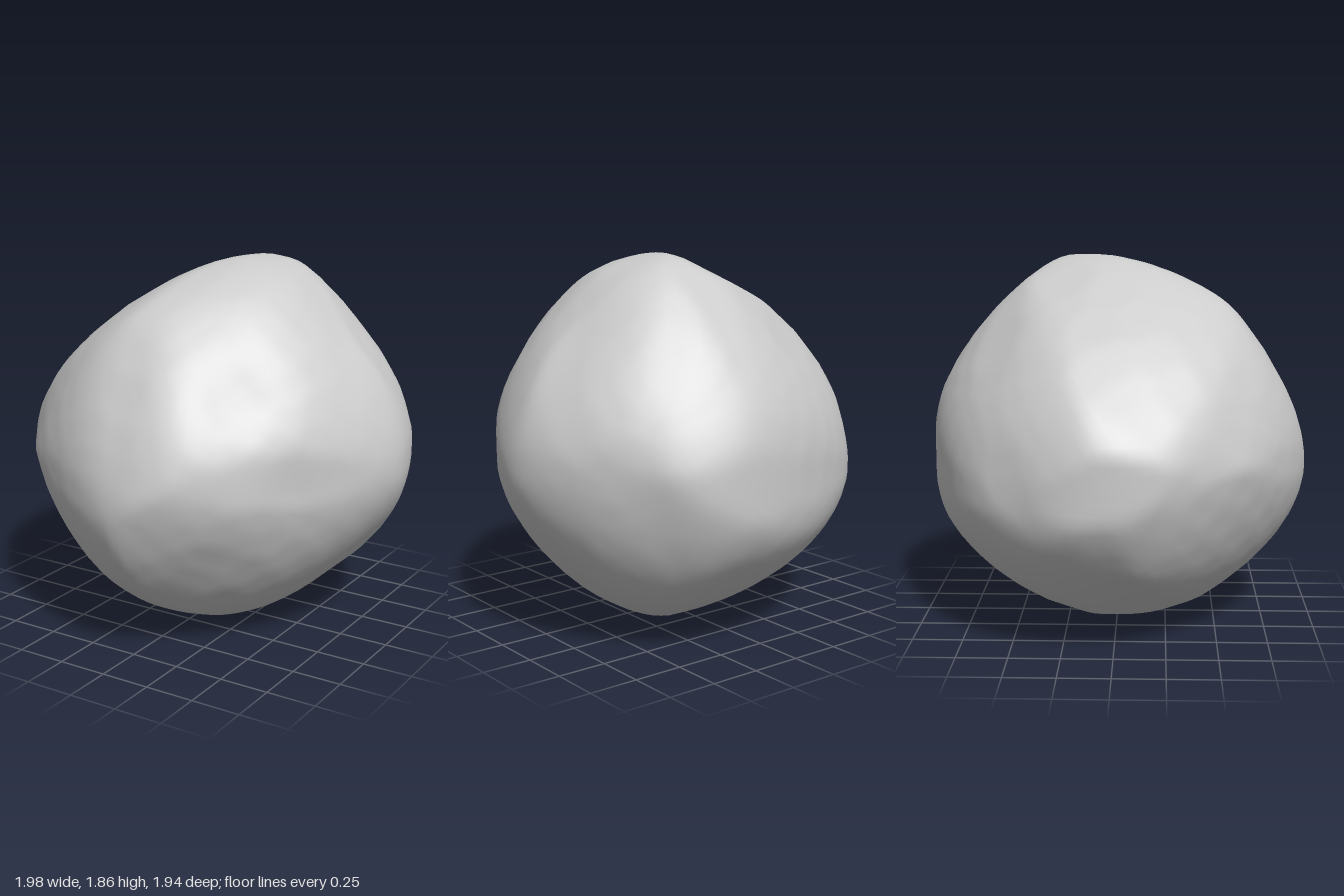
import * as THREE from 'three';
import { mergeVertices } from 'three/addons/utils/BufferGeometryUtils.js';

// Outlines of the boulder: azimuth and elevation of the facing direction in degrees,
// then a few [across, up] points relative to the boulder's middle.
const OUTLINES = [
  { az: 0, el: 0, pts: [[.15, .93], [.55, .77], [.92, .31], [1, -.14], [.6, -.68], [.12, -.93], [-.6, -.69],
    [-1, -.14], [-.9, .24], [-.27, .76]] },
  { az: 90, el: 0, pts: [[.1, .93], [.36, .89], [.92, .28], [.97, -.28], [.64, -.68], [.05, -.93], [-.61, -.7],
    [-.97, -.16], [-.63, .6], [-.43, .77]] },
  { az: 0, el: 90, pts: [[.1, .97], [.54, .92], [.9, .49], [1, .07], [.54, -.69], [.12, -.97], [-.6, -.66],
    [-.92, -.28], [-.95, .25], [-.62, .69]] },
  { az: 35, el: 25, pts: [[.21, .88], [.43, .88], [1, .2], [.88, -.46], [.11, -.91], [-.54, -.72], [-.91, .14],
    [-.36, .71]] },
  { az: 215, el: 25, pts: [[-.34, .87], [.43, .77], [.91, -.1], [.61, -.71], [-.02, -.9], [-.79, -.65],
    [-1.02, .06], [-.76, .57]] },
  { az: 145, el: -25, pts: [[.03, 1], [.7, .45], [.91, .06], [.9, -.42], [.14, -.88], [-.41, -.83], [-.88, -.01],
    [-.59, .68]] },
];

// Corners where the broad faces of the boulder meet
const CORNERS = [[.52, -.17, .71], [.38, -.06, .84], [.11, -.1, .95], [.47, .37, .55], [.72, -.11, .45],
  [.66, .61, -.25], [.29, .65, .47], [-.79, .3, .15], [.34, .34, -.85]].map((p) => new THREE.Vector3(...p));

// Planes touching each rounded outline, all around it
function outlinePlanes() {
  const planes = [], steps = 60;
  for (const { az, el, pts } of OUTLINES) {
    const a = THREE.MathUtils.degToRad(az), e = THREE.MathUtils.degToRad(el);
    const facing = new THREE.Vector3(Math.sin(a) * Math.cos(e), Math.sin(e), Math.cos(a) * Math.cos(e));
    const across = new THREE.Vector3(Math.cos(a), 0, -Math.sin(a));
    const up = facing.clone().cross(across);
    const curve = new THREE.CatmullRomCurve3(pts.map(([u, v]) => new THREE.Vector3(u, v, 0)), true);
    const rim = curve.getPoints(pts.length * 6);
    for (let i = 0; i < steps; i++) {
      const c = Math.cos(i / steps * Math.PI * 2), s = Math.sin(i / steps * Math.PI * 2);
      const n = across.clone().multiplyScalar(c).addScaledVector(up, s);
      planes.push({ n, h: Math.max(...rim.map((p) => p.x * c + p.y * s)) });
    }
  }
  return planes;
}

// Planes spread evenly over the sphere, their distance a smooth surface fitted to the outline planes
function fittedPlanes(known, count) {
  const mean = known.reduce((sum, k) => sum + k.h, 0) / known.length;
  const kernel = (a, b) => {
    const r = a.distanceTo(b) / 0.45;
    return (1 + r) * Math.exp(-r);
  };
  const matrix = known.map((a) => known.map((b) => kernel(a.n, b.n)));
  const weights = new Float64Array(known.length);
  for (let sweep = 0; sweep < 400; sweep++) {
    matrix.forEach((row, i) => {
      let error = known[i].h - mean - 0.01 * weights[i];
      for (let j = 0; j < row.length; j++) error -= row[j] * weights[j];
      weights[i] += error / 1.01;
    });
  }
  return Array.from({ length: count }, (_, i) => {
    const y = 1 - (2 * i + 1) / count, r = Math.sqrt(1 - y * y), t = i * Math.PI * (3 - Math.sqrt(5));
    const n = new THREE.Vector3(r * Math.cos(t), y, r * Math.sin(t));
    return { n, h: known.reduce((sum, k, j) => sum + weights[j] * kernel(n, k.n), mean) };
  });
}

export function createModel() {
  const known = outlinePlanes();
  const planes = [...known, ...fittedPlanes(known, 900)];

  // Distance from the middle to the nearest plane in a direction
  const reach = (d) => {
    let r = Infinity;
    for (const { n, h } of planes) {
      const facing = n.dot(d);
      if (facing > 0.3) r = Math.min(r, h / facing);
    }
    return r;
  };
  const pulls = CORNERS.map((p) => {
    const dir = p.clone().normalize();
    return { dir, gain: p.length() / reach(dir) - 1 };
  });

  // Boulder: a sphere shaped by the planes, then drawn gently to the corners
  let geometry = new THREE.IcosahedronGeometry(1, 22);
  geometry.deleteAttribute('normal');
  geometry.deleteAttribute('uv');
  geometry = mergeVertices(geometry, 1e-4);
  const pos = geometry.attributes.position, d = new THREE.Vector3();
  for (let i = 0; i < pos.count; i++) {
    d.fromBufferAttribute(pos, i).normalize();
    let pull = 0, total = 0;
    for (const { dir, gain } of pulls) {
      const w = Math.exp(-dir.distanceToSquared(d) / 0.06);
      pull += w * gain;
      total += w;
    }
    d.multiplyScalar(reach(d) * (1 + pull / Math.max(1, total)));
    pos.setXYZ(i, d.x, d.y, d.z);
  }

  // Centre it and rest it on the ground
  geometry.center();
  geometry.translate(0, -geometry.boundingBox.min.y, 0);
  geometry.computeVertexNormals();

  const boulder = new THREE.Mesh(geometry, new THREE.MeshStandardMaterial({ color: 0xcccccc }));
  boulder.name = 'boulder';
  const group = new THREE.Group();
  group.name = 'rock';
  group.add(boulder);
  return group;
}
